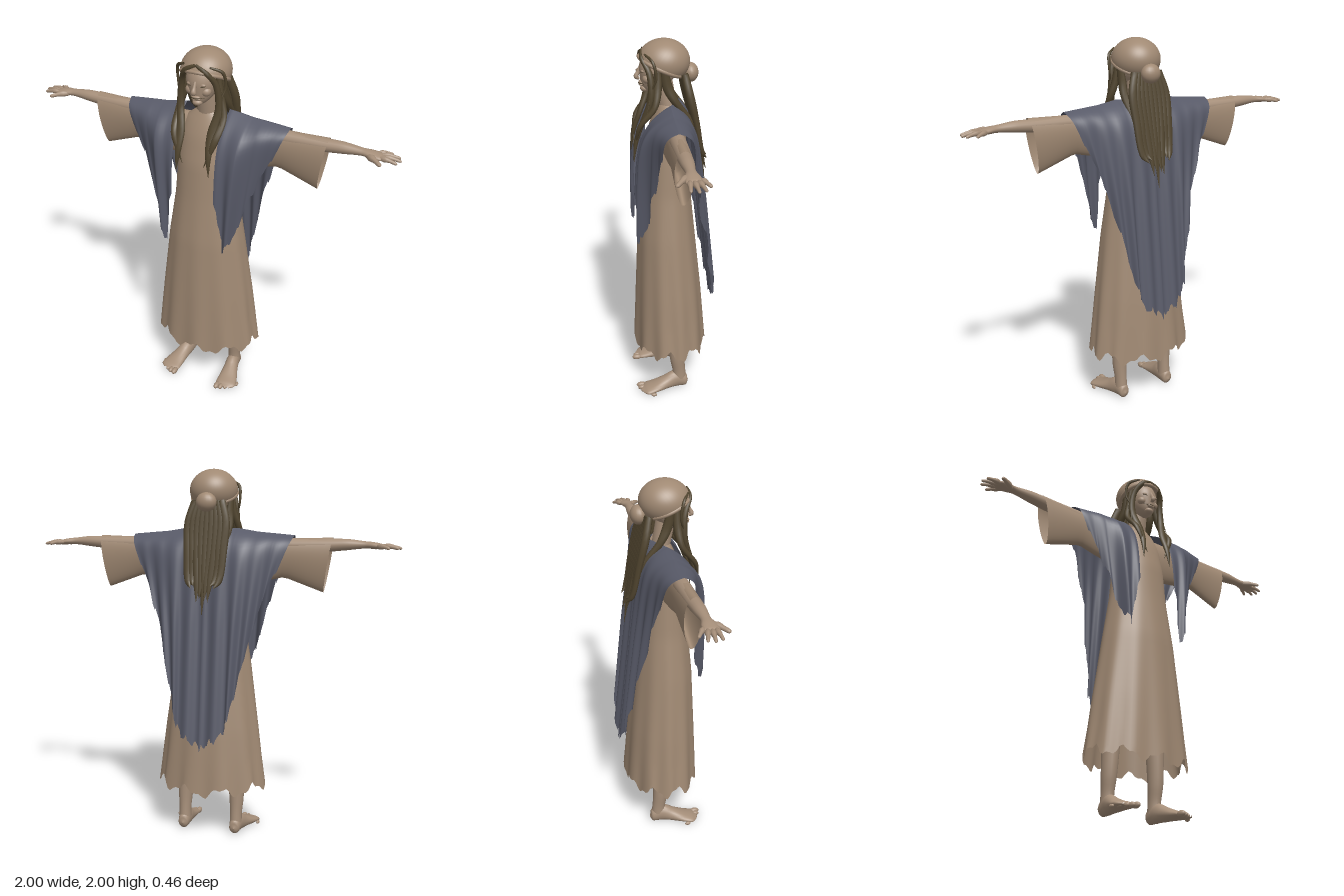
import * as THREE from 'three';

const mat = (name, color, side = THREE.DoubleSide) => {
  const m = new THREE.MeshStandardMaterial({ color, side });
  m.name = name;
  return m;
};

// Piecewise linear lookup in a short table of [key, value, value, ...]
function lin(table, k) {
  if (k <= table[0][0]) return table[0].slice(1);
  for (let i = 1; i < table.length; i++) {
    const a = table[i - 1], b = table[i];
    if (k <= b[0]) {
      const f = (k - a[0]) / (b[0] - a[0]);
      return a.slice(1).map((v, j) => v + (b[j + 1] - v) * f);
    }
  }
  return table[table.length - 1].slice(1);
}

// Grid surface from point(u, v); wrap closes it around u
function surface(nu, nv, point, wrap) {
  const pos = [], idx = [], cols = wrap ? nu : nu + 1;
  for (let i = 0; i <= nv; i++)
    for (let j = 0; j < cols; j++) pos.push(...point(j / nu, i / nv));
  for (let i = 0; i < nv; i++)
    for (let j = 0; j < nu; j++) {
      const k = (j + 1) % cols, a = i * cols + j, b = i * cols + k;
      idx.push(a, b, b + cols, a, b + cols, a + cols);
    }
  const g = new THREE.BufferGeometry();
  g.setAttribute('position', new THREE.Float32BufferAttribute(pos, 3));
  g.setIndex(idx);
  g.computeVertexNormals();
  return g;
}

// Smooth limb through stations [x, y, z, width radius, thickness radius]
const UP = new THREE.Vector3(0, 1, 0), FRONT = new THREE.Vector3(0, 0, 1);
function limb(stations, ref = FRONT, sides = 12, steps = 16) {
  const path = new THREE.CatmullRomCurve3(stations.map(s => new THREE.Vector3(s[0], s[1], s[2])));
  const size = new THREE.CatmullRomCurve3(stations.map(s => new THREE.Vector3(s[3], s[4], 0)));
  return surface(sides, steps, (u, v) => {
    const p = path.getPoint(v), r = size.getPoint(v), t = path.getTangent(v);
    const n = new THREE.Vector3().crossVectors(ref, t).normalize();
    const b = new THREE.Vector3().crossVectors(t, n);
    p.addScaledVector(n, Math.max(r.x, 0.0005) * Math.cos(u * 2 * Math.PI));
    p.addScaledVector(b, Math.max(r.y, 0.0005) * Math.sin(u * 2 * Math.PI));
    return p.toArray();
  }, true);
}

const ball = (x, y, z, a, b, c) => new THREE.SphereGeometry(1, 20, 14).scale(a, b, c).translate(x, y, z);

export function createModel() {
  const model = new THREE.Group();
  const skin = mat('skin', 0xa58e79, THREE.FrontSide);
  const linen = mat('linen', 0xa08973);
  const wool = mat('shawl wool', 0x585a68);
  const hair = mat('hair', 0x51452f);
  const add = (name, geo, m) => {
    const mesh = new THREE.Mesh(geo, m);
    mesh.name = name;
    model.add(mesh);
    return mesh;
  };

  // Dress: half width, front z and back z by height, folds growing towards the hem
  const dressRows = [[0.28, 0.3, 0.222, -0.175], [0.6, 0.262, 0.21, -0.15], [0.95, 0.215, 0.195, -0.115],
    [1.2, 0.175, 0.17, -0.09], [1.4, 0.16, 0.155, -0.075], [1.55, 0.145, 0.125, -0.06],
    [1.63, 0.115, 0.095, -0.035], [1.67, 0.06, 0.075, -0.01]];
  add('dress', surface(96, 40, (u, v) => {
    const a = u * 2 * Math.PI, y = 0.28 + 1.39 * v, fall = (1 - v) ** 2;
    const [hx, zf, zb] = lin(dressRows, y);
    const fold = 1 + 0.03 * fall * Math.sin(a * 11 + 1);
    const hem = Math.max(0, 1 - v * 8) * (0.025 * Math.cos(a * 9) + 0.012 * Math.sin(a * 23) - 0.015 * Math.cos(a * 2));
    return [hx * Math.sin(a) * fold, y + hem, (zf + zb) / 2 + (zf - zb) / 2 * Math.cos(a) * fold];
  }, true), linen);

  // Shawl: columns of cloth falling from the shoulder ridge to a ragged hem
  const ridge = [[0, 1.69], [0.14, 1.69], [0.25, 1.672], [0.45, 1.655]];
  const pull = [[0.13, 0], [0.29, 0.1], [0.37, 0.18], [0.45, 0.4]];
  const frontHem = [[0.12, 1.2], [0.14, 1.16], [0.19, 0.92], [0.24, 0.97], [0.29, 1.05], [0.33, 1.2], [0.38, 1.33], [0.45, 1.46]];
  const backHem = [[0, 0.5], [0.1, 0.56], [0.18, 0.66], [0.24, 0.8], [0.3, 1.02], [0.35, 1.22], [0.45, 1.46]];
  const frontDepth = [[0.12, 0.21, 0.1], [0.24, 0.205, 0.07], [0.31, 0.145, 0.035], [0.45, 0.1, 0.025]];
  const backDepth = [[0, -0.09, 0.06], [0.2, -0.09, 0.05], [0.32, -0.06, 0.03], [0.45, -0.045, 0.025]];
  const jag = x => 0.075 * Math.abs(((x * 19) % 1) - 0.4) + 0.04 * Math.abs(((x * 47) % 1) - 0.5);
  const cloth = (x0, v, back) => {
    const a = Math.abs(x0), top = lin(ridge, a)[0];
    const hem = lin(back ? backHem : frontHem, a)[0] + jag(a + (x0 < 0 && back ? 0.31 : 0.5));
    const t = (top - hem) * v ** 1.5;
    const [deep, soft] = lin(back ? backDepth : frontDepth, a);
    const zc = 0.03 - 0.06 * Math.max(0, 1 - a / 0.13);
    let z = zc + (deep - zc) * (1 - Math.exp(-t / soft)) - (back ? 0.11 * t : 0);
    z += 0.011 * Math.sin(a * 62) * Math.min(1, t * 2);
    return [Math.sign(x0) * (a - lin(pull, a)[0] * t), top - t, z];
  };
  add('shawlBack', surface(110, 28, (u, v) => cloth(0.9 * u - 0.45, v, true)), wool);

  // Back hair, a fan of locks over the shawl
  for (let i = -4; i <= 4; i++) {
    const x = i * 0.022, tip = 1.24 + 0.035 * Math.abs(i) + 0.05 * (i & 1), w = 0.024;
    add('backHairLock', limb([[x * 0.8, 1.83, -0.05, w, 0.02], [x * 1.15, 1.72, -0.075, w, 0.022],
      [x * 1.1, 1.58, -0.108, w, 0.018], [x * 0.9 + 0.006 * Math.sin(i * 5), 1.42, -0.142, w * 0.8, 0.013],
      [x * 0.7, tip, -0.17, 0.001, 0.001]], FRONT, 8), hair);
  }

  for (const s of [1, -1]) {
    const side = s > 0 ? 'left' : 'right';
    const flip = rows => rows.map(([x, ...r]) => [x * s, ...r]);
    add(side + 'ShawlFront', surface(50, 24, (u, v) => cloth(s * (0.12 + 0.33 * u), v, false)), wool);

    // Wide open sleeve with a slanted cuff: top, bottom and half depth by x
    const sleeve = [[0.1, 1.64, 1.38, 0.06], [0.3, 1.638, 1.41, 0.057], [0.42, 1.638, 1.435, 0.055], [0.65, 1.645, 1.36, 0.056]];
    add(side + 'Sleeve', surface(32, 16, (u, v) => {
      const a = u * 2 * Math.PI, x = 0.1 + 0.55 * v, [top, bottom, d] = lin(sleeve, x);
      const c = Math.cos(a), low = (1 - c) / 2;
      return [s * (x - 0.045 * low * v), top - (top - bottom) * low, 0.03 + d * Math.sin(a) * (1 - 0.35 * low)];
    }, true), linen);

    // Arm, palm and fingers
    add(side + 'Arm', limb(flip([[0.4, 1.6, 0.03, 0.04, 0.04], [0.62, 1.605, 0.03, 0.036, 0.034],
      [0.72, 1.61, 0.03, 0.032, 0.029], [0.81, 1.61, 0.03, 0.024, 0.019], [0.86, 1.607, 0.03, 0.036, 0.017],
      [0.9, 1.602, 0.028, 0.04, 0.014], [0.925, 1.6, 0.025, 0.01, 0.004]]), UP, 16, 30), skin);
    [[0.88, 0.0, 0.945, -0.04], [0.9, 0.012, 0.988, -0.012], [0.905, 0.03, 1.0, 0.02], [0.9, 0.048, 0.988, 0.056],
      [0.84, 0.045, 0.925, 0.108]].forEach(([x, z, tx, tz], i) => {
      const f = i === 4 ? 0.012 : 0.0095, mx = (x + tx) / 2, mz = (z + tz) / 2;
      add(side + (i === 4 ? 'Thumb' : 'Finger'), limb(flip([[x, 1.604, z, f, f], [mx, 1.603, mz, f, f],
        [mx + (tx - mx) * 0.85, 1.595, mz + (tz - mz) * 0.85, f * 0.8, f * 0.8], [tx, 1.592, tz, 0.001, 0.001]]), UP, 8, 10), skin);
    });

    // Leg, foot and toes
    add(side + 'Leg', limb(flip([[0.14, 0.6, 0, 0.06, 0.06], [0.145, 0.35, 0, 0.046, 0.05], [0.15, 0.2, -0.005, 0.04, 0.043],
      [0.15, 0.11, -0.015, 0.033, 0.037], [0.15, 0.05, -0.018, 0.034, 0.04]]), FRONT, 16), skin);
    add(side + 'Foot', limb(flip([[0.15, 0.035, -0.068, 0.001, 0.001], [0.15, 0.036, -0.055, 0.028, 0.034],
      [0.152, 0.053, 0, 0.036, 0.052], [0.162, 0.04, 0.06, 0.042, 0.039], [0.176, 0.025, 0.13, 0.055, 0.024],
      [0.183, 0.018, 0.175, 0.059, 0.017], [0.186, 0.015, 0.2, 0.03, 0.008]]), UP, 18, 24), skin);
    for (let i = 0; i < 5; i++) {
      const r = 0.018 - 0.0018 * i;
      add(side + 'Toe', ball(s * (0.14 + 0.0245 * i), r * 0.9, 0.203 - 0.004 * i * i, r * 0.85, r * 0.9, r * 1.55), skin);
    }

    // Locks framing the face and hanging over the chest
    [[[0, 1.945, 0.163, 0.008, 0.006], [0.055, 1.915, 0.165, 0.014, 0.01], [0.092, 1.85, 0.13, 0.016, 0.016],
      [0.105, 1.72, 0.125, 0.02, 0.018], [0.085, 1.6, 0.165, 0.024, 0.014], [0.085, 1.5, 0.2, 0.018, 0.012], [0.092, 1.385, 0.215, 0.001, 0.001]],
    [[0.085, 1.9, 0.09, 0.012, 0.015], [0.1, 1.78, 0.09, 0.018, 0.022], [0.125, 1.68, 0.11, 0.018, 0.016],
      [0.115, 1.58, 0.185, 0.018, 0.012], [0.06, 1.43, 0.205, 0.001, 0.001]],
    [[0.1, 1.9, 0.06, 0.012, 0.016], [0.092, 1.78, 0.04, 0.02, 0.026], [0.1, 1.7, 0.0, 0.02, 0.02],
      [0.09, 1.58, -0.09, 0.018, 0.012], [0.085, 1.42, -0.14, 0.001, 0.001]],
    [[0.07, 1.94, 0.15, 0.005, 0.005], [0.122, 1.91, 0.115, 0.009, 0.008], [0.13, 1.83, 0.1, 0.006, 0.006],
      [0.115, 1.77, 0.12, 0.005, 0.005], [0.13, 1.64, 0.15, 0.001, 0.001]]]
      .forEach(rows => add(side + 'HairLock', limb(flip(rows), FRONT, 8, 24), hair));

    // Closed eyelid, cheek and brow
    add(side + 'Eyelid', ball(s * 0.034, 1.848, 0.157, 0.017, 0.009, 0.01), skin);
    add(side + 'Cheek', ball(s * 0.042, 1.81, 0.135, 0.026, 0.025, 0.025), skin);
    add(side + 'Lash', limb(flip([[0.02, 1.843, 0.167, 0.001, 0.001], [0.035, 1.84, 0.166, 0.002, 0.002],
      [0.052, 1.844, 0.157, 0.001, 0.001]]), UP, 6, 8), hair);
  }

  // Neck and head, narrowing to the chin
  add('neck', limb([[0, 1.58, 0.02, 0.07, 0.05], [0, 1.66, 0.03, 0.055, 0.048], [0, 1.8, 0.055, 0.048, 0.05]], FRONT, 18), skin);
  const head = new THREE.SphereGeometry(1, 36, 26), p = head.attributes.position;
  for (let i = 0; i < p.count; i++) {
    const low = Math.max(0, -p.getY(i));
    p.setX(i, p.getX(i) * (1 - 0.22 * low));
    p.setZ(i, p.getZ(i) * (1 - 0.1 * low) + 0.42 * low * low);
  }
  head.scale(0.085, 0.115, 0.098).translate(0, 1.848, 0.075);
  head.computeVertexNormals();
  add('head', head, skin);
  add('nose', limb([[0, 1.865, 0.165, 0.008, 0.008], [0, 1.835, 0.178, 0.009, 0.01], [0, 1.812, 0.188, 0.014, 0.012],
    [0, 1.802, 0.172, 0.008, 0.006]], FRONT, 10), skin);
  add('chin', ball(0, 1.752, 0.145, 0.026, 0.018, 0.024), skin);
  for (const [y, r] of [[1.785, 0.007], [1.774, 0.008]]) add('lip', ball(0, y, 0.164, 0.024, r, 0.012), skin);
  add('mouthLine', limb([[-0.045, 1.783, 0.152, 0.001, 0.001], [0, 1.779, 0.176, 0.002, 0.002], [0.045, 1.783, 0.152, 0.001, 0.001]], UP, 6), hair);

  // Head scarf tilted back, with rolled rim and knot
  const seat = g => g.rotateX(-0.5).scale(0.128, 0.112, 0.133).translate(0, 1.888, 0.047);
  const rim = 0.58 * Math.PI;
  add('headScarf', seat(new THREE.SphereGeometry(1, 40, 20, 0, 2 * Math.PI, 0, rim)), linen);
  add('scarfRim', seat(new THREE.TorusGeometry(Math.sin(rim) * 0.96, 0.09, 10, 40).rotateX(Math.PI / 2).translate(0, Math.cos(rim), 0)), linen);
  add('scarfKnot', ball(0, 1.826, -0.088, 0.055, 0.05, 0.042), linen);

  return model;
}
